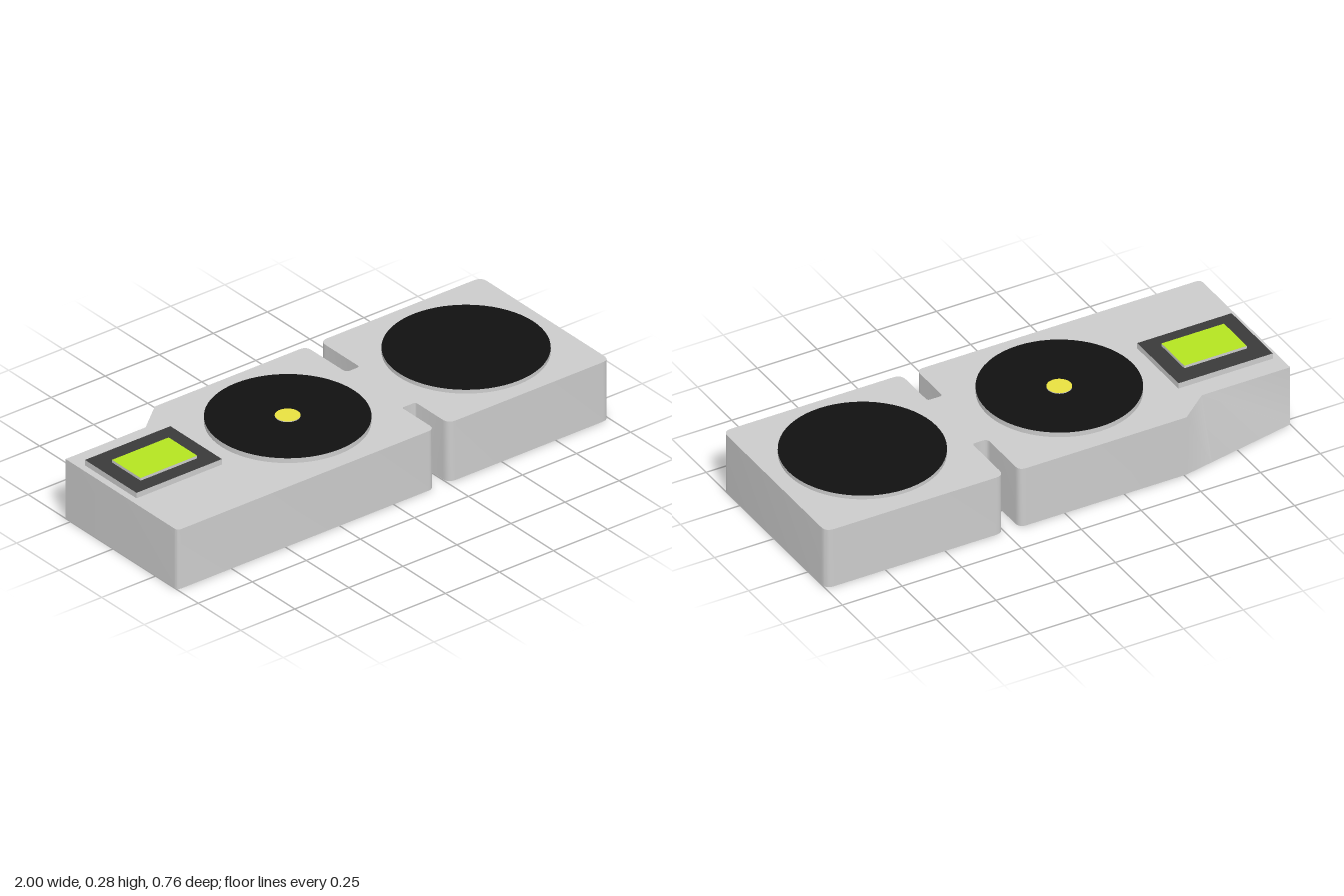
import * as THREE from 'three';
import { toCreasedNormals } from 'three/addons/utils/BufferGeometryUtils.js';

const grey = new THREE.MeshStandardMaterial({ color: 0xcccccc, side: THREE.DoubleSide });
const paint = (color) => new THREE.MeshStandardMaterial({ color });
const TOP = 0.25; // height of the body's upper face

// Closed outline from [x, z, cornerRadius] points
function outline(points) {
  const shape = new THREE.Shape();
  const v = points.map(([x, z]) => new THREE.Vector2(x, -z));
  const n = v.length;
  points.forEach(([, , r], i) => {
    const toward = (to) => v[i].clone().add(to.clone().sub(v[i]).setLength(r));
    const a = r ? toward(v[(i + n - 1) % n]) : v[i];
    if (i === 0) shape.moveTo(a.x, a.y);
    else shape.lineTo(a.x, a.y);
    if (r) {
      const b = toward(v[(i + 1) % n]);
      shape.quadraticCurveTo(v[i].x, v[i].y, b.x, b.y);
    }
  });
  shape.closePath();
  return shape;
}

export function createModel() {
  const model = new THREE.Group();
  const add = (name, geometry, material, x = 0, y = 0, z = 0) => {
    const mesh = new THREE.Mesh(geometry, material);
    mesh.name = name;
    mesh.position.set(x, y, z);
    model.add(mesh);
  };

  // Body: two blocks joined by a narrow bridge, with one rear corner cut back
  const D = 0.378;
  const notch = [-0.63, -0.28];
  const shape = outline([
    [-1, D, 0.02], [0.19, D, 0.03], [0.19, 0.185, 0.012], [0.253, 0.185, 0.012],
    [0.253, D, 0.035], [1, D, 0.035], [1, -D, 0.035], [0.253, -D, 0.035],
    [0.253, -0.143, 0.012], [0.19, -0.143, 0.02], [0.19, -D, 0.03],
    [-0.51, -D, 0], [...notch, 0], [-1, -0.28, 0],
  ]);
  const body = new THREE.ExtrudeGeometry(shape, { depth: TOP, bevelEnabled: false, curveSegments: 6 });
  body.rotateX(-Math.PI / 2);
  // The cut slopes outward to a straight edge at the base
  const p = body.attributes.position;
  for (let i = 0; i < p.count; i++) {
    const near = Math.hypot(p.getX(i) - notch[0], p.getZ(i) - notch[1]) < 0.001;
    if (near && p.getY(i) < 0.01) p.setZ(i, -0.354);
  }
  add('body', toCreasedNormals(body, 0.5), grey);

  // Round parts: grey rim, coloured top
  const disc = (name, x, z, r, y0, y1, color) => add(name,
    new THREE.CylinderGeometry(r, r, y1 - y0, 64), [grey, paint(color), grey], x, (y0 + y1) / 2, z);
  disc('middleDisc', -0.195, 0.003, 0.305, TOP, 0.27, 0x111111);
  disc('leftDisc', 0.627, 0.007, 0.308, TOP, 0.266, 0x111111);
  disc('centreCap', -0.193, 0, 0.047, 0.27, 0.273, 0xe8e040);

  // Display: grey sides, coloured top
  const slab = (name, x0, x1, z0, z1, y0, y1, color) => add(name,
    new THREE.BoxGeometry(x1 - x0, y1 - y0, z1 - z0),
    [grey, grey, paint(color), grey, grey, grey], (x0 + x1) / 2, (y0 + y1) / 2, (z0 + z1) / 2);
  slab('displayFrame', -0.973, -0.578, -0.2, 0.103, TOP, 0.273, 0x3a3a3a);
  slab('displayScreen', -0.907, -0.645, -0.125, 0.043, 0.273, 0.284, 0xb4e420);

  return model;
}
